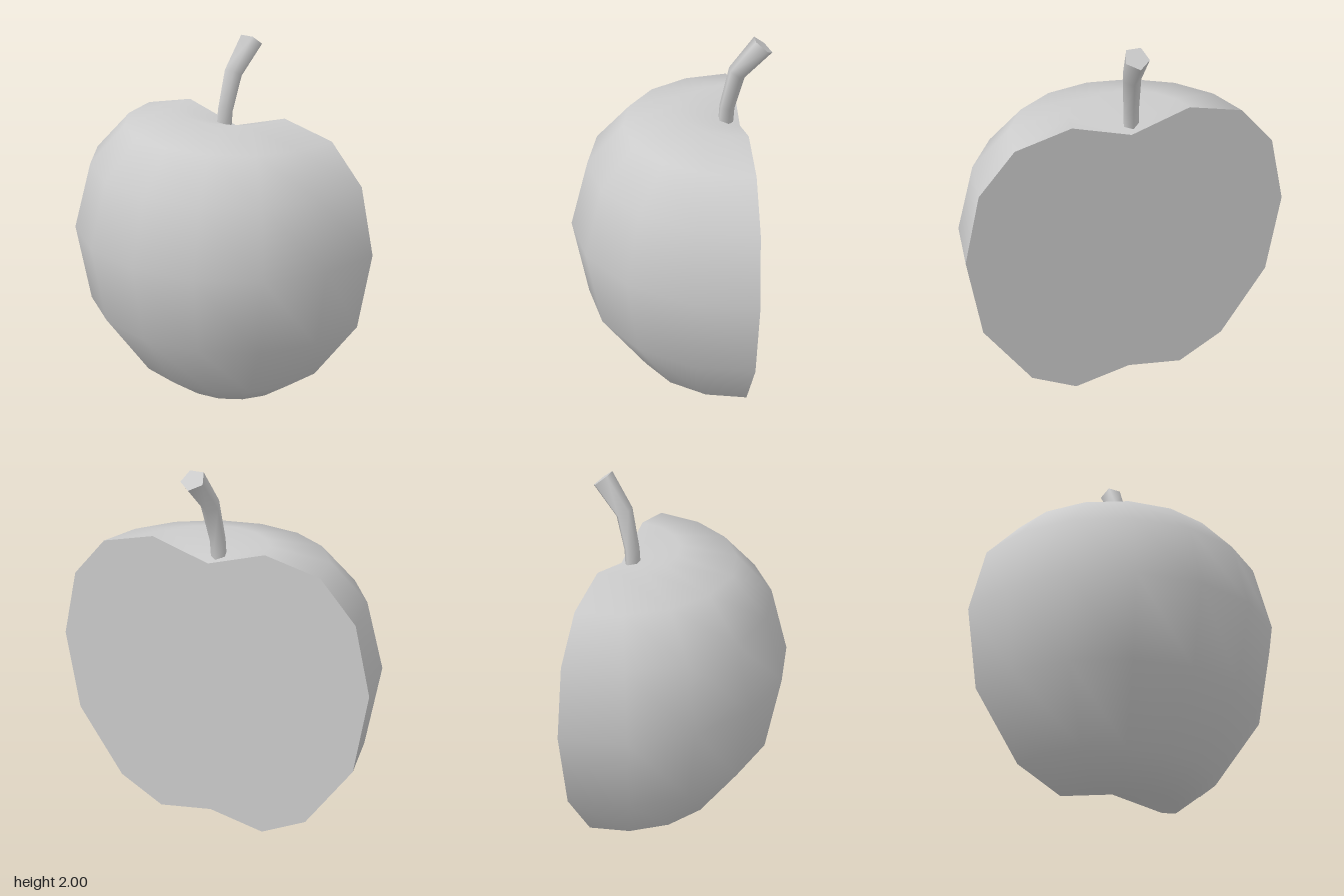
import * as THREE from 'three';
import { mergeVertices } from 'three/addons/utils/BufferGeometryUtils.js';

const CUT_X = 0.37;
const SIDES = 8;
// Profile of the fruit as [radius, height], from bottom dimple to top dimple
const PROFILE = [
  [0, 0.09], [0.31, 0.035], [0.56, 0.165], [0.815, 0.53], [0.885, 0.965],
  [0.8, 1.325], [0.61, 1.535], [0.315, 1.605], [0, 1.51],
];

function createSkin() {
  const points = PROFILE.map(([r, y]) => new THREE.Vector2(r, y));
  let geometry = new THREE.LatheGeometry(points, SIDES, Math.PI, Math.PI);
  const p = geometry.attributes.position;
  for (let i = 0; i < p.count; i++) {
    const column = Math.floor(i / PROFILE.length);
    const ring = i % PROFILE.length;
    if (column === 0 || column === SIDES) continue;
    // Away from the cut the foot is lower and wider, the belly a little fuller
    if (ring === 1) p.setXYZ(i, p.getX(i) * 1.1, 0, p.getZ(i) * 1.1);
    if (ring === 4) p.setXYZ(i, p.getX(i) * 1.012, p.getY(i), p.getZ(i) * 1.005);
  }
  geometry.deleteAttribute('uv');
  geometry.deleteAttribute('normal');
  geometry = mergeVertices(geometry, 1e-4);
  geometry.computeVertexNormals();
  return geometry;
}

function createCutFace() {
  const right = PROFILE.map(([r, y]) => new THREE.Vector2(r, y));
  const left = PROFILE.slice(1, -1).reverse().map(([r, y]) => new THREE.Vector2(-r, y));
  return new THREE.ShapeGeometry(new THREE.Shape([...right, ...left])).rotateY(Math.PI / 2);
}

// Five-sided stem: each ring is [x, y, z, radius, lean from vertical]
const STEM = [
  [0.295, 1.52, -0.025, 0.042, 0],
  [0.3, 1.61, -0.022, 0.042, 0.15],
  [0.344, 1.806, -0.005, 0.05, 0.55],
  [0.47, 1.965, 0.022, 0.064, 0.68],
];

function stemRing([x, y, z, r, lean]) {
  return Array.from({ length: 5 }, (_, j) => {
    const a = (j / 5) * Math.PI * 2;
    const u = r * Math.cos(a);
    return [x + u * Math.cos(lean), y - u * Math.sin(lean), z + r * Math.sin(a)];
  });
}

function meshFrom(vertices, index) {
  const geometry = new THREE.BufferGeometry();
  geometry.setAttribute('position', new THREE.Float32BufferAttribute(vertices.flat(), 3));
  geometry.setIndex(index);
  geometry.computeVertexNormals();
  return geometry;
}

function createStemSide() {
  const index = [];
  for (let i = 0; i < STEM.length - 1; i++) {
    for (let j = 0; j < 5; j++) {
      const a = i * 5 + j, b = i * 5 + ((j + 1) % 5);
      index.push(a, a + 5, b, b, a + 5, b + 5);
    }
  }
  return meshFrom(STEM.flatMap(stemRing), index);
}

function createStemEnd(ring, up) {
  return meshFrom(stemRing(ring), up ? [0, 2, 1, 0, 3, 2, 0, 4, 3] : [0, 1, 2, 0, 2, 3, 0, 3, 4]);
}

export function createModel() {
  const material = new THREE.MeshStandardMaterial({ color: 0xcccccc });
  const model = new THREE.Group();
  model.name = 'halfApple';

  function add(name, geometry, parent) {
    const mesh = new THREE.Mesh(geometry, material);
    mesh.name = name;
    parent.add(mesh);
  }

  // Halved fruit, its flat cut facing +x
  const fruit = new THREE.Group();
  fruit.name = 'fruit';
  fruit.position.x = CUT_X;
  add('skin', createSkin(), fruit);
  add('cutFace', createCutFace(), fruit);
  model.add(fruit);

  // Bent stem, thicker at its tip
  const stem = new THREE.Group();
  stem.name = 'stem';
  add('stemSide', createStemSide(), stem);
  add('stemTip', createStemEnd(STEM[STEM.length - 1], true), stem);
  add('stemBase', createStemEnd(STEM[0], false), stem);
  model.add(stem);

  return model;
}
